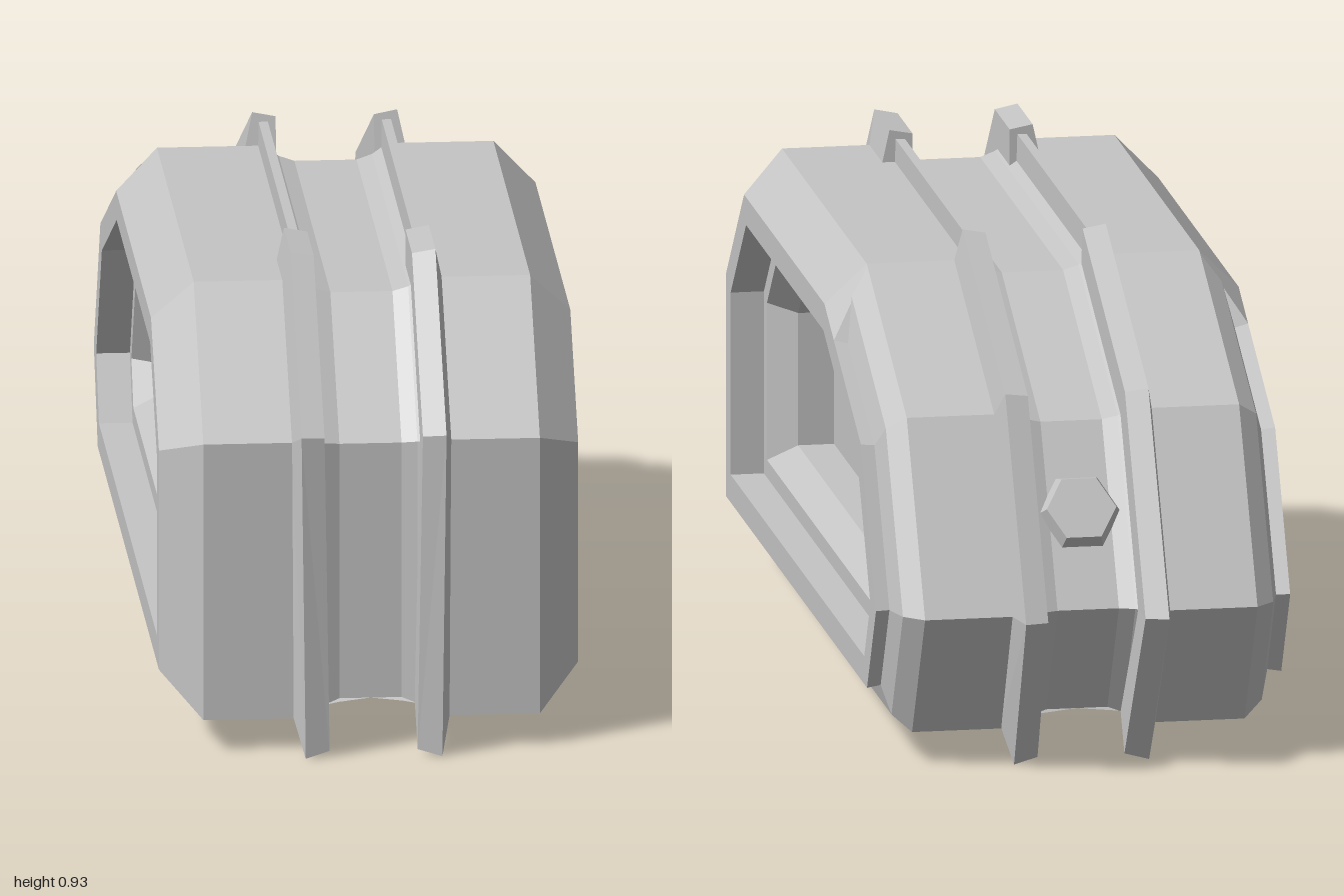
import * as THREE from 'three';

// Side outline of the body as [z, y], from the front bottom corner over the top to the back
const OUTLINE = [[0.9375, 0.0635], [0.9375, 0.615], [0.685, 0.87], [-0.27, 0.87], [-0.72, 0.672], [-0.927, 0.32], [-0.78, 0.0635]];

// A station is a point on the outline plus the direction in which it moves when inset
function corner(i) {
  const n = OUTLINE.length;
  const [a, p, b] = [OUTLINE[(i + n - 1) % n], OUTLINE[i], OUTLINE[(i + 1) % n]];
  const inward = (u, v) => {
    const dz = v[0] - u[0], dy = v[1] - u[1], l = Math.hypot(dz, dy);
    return [-dy / l, dz / l];
  };
  const n1 = inward(a, p), n2 = inward(p, b);
  const k = 1 + n1[0] * n2[0] + n1[1] * n2[1];
  return { p, m: [(n1[0] + n2[0]) / k, (n1[1] + n2[1]) / k] };
}

const C = OUTLINE.map((_, i) => corner(i));
const notchTop = { p: [-0.28, 0.8656], m: [-1, -1.535] };
const notchBottom = { p: [-0.28, 0.0635], m: [-1, 1] };

const place = (station, [x, d], side) =>
  new THREE.Vector3(side * x, station.p[1] + station.m[1] * d, station.p[0] + station.m[0] * d);

function facetGeometry(triangles, side) {
  const pos = [];
  const e1 = new THREE.Vector3(), e2 = new THREE.Vector3();
  for (const [a, b, c] of triangles) {
    e1.subVectors(b, a).cross(e2.subVectors(c, a));
    if (e1.lengthSq() < 1e-14) continue;
    for (const v of side > 0 ? [a, b, c] : [a, c, b]) pos.push(v.x, v.y, v.z);
  }
  const g = new THREE.BufferGeometry();
  g.setAttribute('position', new THREE.Float32BufferAttribute(pos, 3));
  g.computeVertexNormals();
  return g;
}

// Sweep cross-sections of [x, inset] along stations
function sweep(stations, sections, side, closed) {
  const rings = stations.map((s, i) => sections[i].map((q) => place(s, q, side)));
  const tris = [];
  const count = closed ? rings.length : rings.length - 1;
  for (let i = 0; i < count; i++) {
    const r = rings[i], s = rings[(i + 1) % rings.length];
    for (let j = 0; j < r.length - 1; j++) {
      tris.push([r[j], r[j + 1], s[j + 1]], [r[j], s[j + 1], s[j]]);
    }
  }
  if (!closed) {
    const a = rings[0], b = rings[rings.length - 1];
    for (let j = 1; j < a.length - 1; j++) tris.push([a[0], a[j + 1], a[j]], [b[0], b[j], b[j + 1]]);
  }
  return facetGeometry(tris, side);
}

export function createModel() {
  const model = new THREE.Group();
  model.name = 'casing';
  const grey = new THREE.MeshStandardMaterial({ color: 0xc4c4c4, flatShading: true });
  grey.name = 'grey';
  const add = (name, geometry) => {
    const mesh = new THREE.Mesh(geometry, grey);
    mesh.name = name;
    model.add(mesh);
    return mesh;
  };

  // Half cross-section: centre channel, shoulder, side rim and stepped recess
  const channel = [[0, 0.03], [0.06, 0.03], [0.09, 0.02], [0.12, 0], [0.325, 0]];
  const underside = channel.map(([x]) => [x, 0.03 * (1 - x / 0.325)]);
  const chamfer = [[0.362, 0.037], [0.38, 0.055]];
  const groove = [[0.362, 0.032], [0.378, 0.084]];
  const recess = [[0.405, 0.08], [0.405, 0.135], [0.34, 0.135], [0.34, 0.17], [0.285, 0.205], [0.215, 0.205]];
  const full = [...channel, ...chamfer, ...recess];
  const cut = [...channel, ...groove, ...recess];
  const fullUnder = [...underside, ...chamfer, ...recess];
  const cutUnder = [...underside, ...groove, ...recess];

  // The shoulder chamfer is cut into a groove towards the back; the channel stops at the underside
  const bodyRun = [
    [C[0], full], [C[1], full], [C[2], full], [C[3], full], [notchTop, full],
    [notchTop, cut], [C[4], cut], [C[5], cut], [C[6], cut],
    [C[6], cutUnder], [notchBottom, cutUnder], [notchBottom, fullUnder], [C[0], fullUnder],
  ];

  // Raised fins: front part, low rib along the roof, back part
  const fin = [[0.095, 0.03], [0.095, -0.055], [0.14, -0.0635], [0.155, 0.005]];
  const finFoot = [[0.085, 0.03], [0.085, -0.052], [0.132, -0.0635], [0.152, 0.005]];
  const rib = [[0.108, 0.02], [0.11, -0.045], [0.128, -0.045], [0.13, 0.02]];
  const roofStop = { p: [0.54, 0.87], m: [0, -1] };
  const finRuns = {
    FrontFin: [[C[0], finFoot], [C[1], fin], [C[2], fin], [roofStop, fin]],
    RoofRib: [[roofStop, rib], [C[3], rib]],
    BackFin: [[C[3], fin], [C[4], fin], [C[5], fin], [C[6], finFoot]],
  };
  const sweepRun = (run, side, closed) => sweep(run.map((r) => r[0]), run.map((r) => r[1]), side, closed);

  for (const [label, side] of [['left', 1], ['right', -1]]) {
    add(label + 'Shell', sweepRun(bodyRun, side, true));

    // Flat panel closing the recess
    const edge = C.map((s) => place(s, recess[recess.length - 1], side));
    const fan = [];
    for (let i = 1; i < edge.length - 1; i++) fan.push([edge[0], edge[i + 1], edge[i]]);
    add(label + 'SidePanel', facetGeometry(fan, side));

    for (const [name, run] of Object.entries(finRuns)) add(label + name, sweepRun(run, side, false));
  }

  // Six-sided bolt on the sloping back
  const normal = new THREE.Vector3(0, 0.507, -0.862);
  const bolt = add('backBolt', new THREE.CylinderGeometry(0.068, 0.085, 0.04, 6).rotateY(Math.PI / 6));
  bolt.quaternion.setFromUnitVectors(new THREE.Vector3(0, 1, 0), normal);
  bolt.position.set(0, 0.489, -0.793).addScaledVector(normal, 0.008);

  return model;
}
